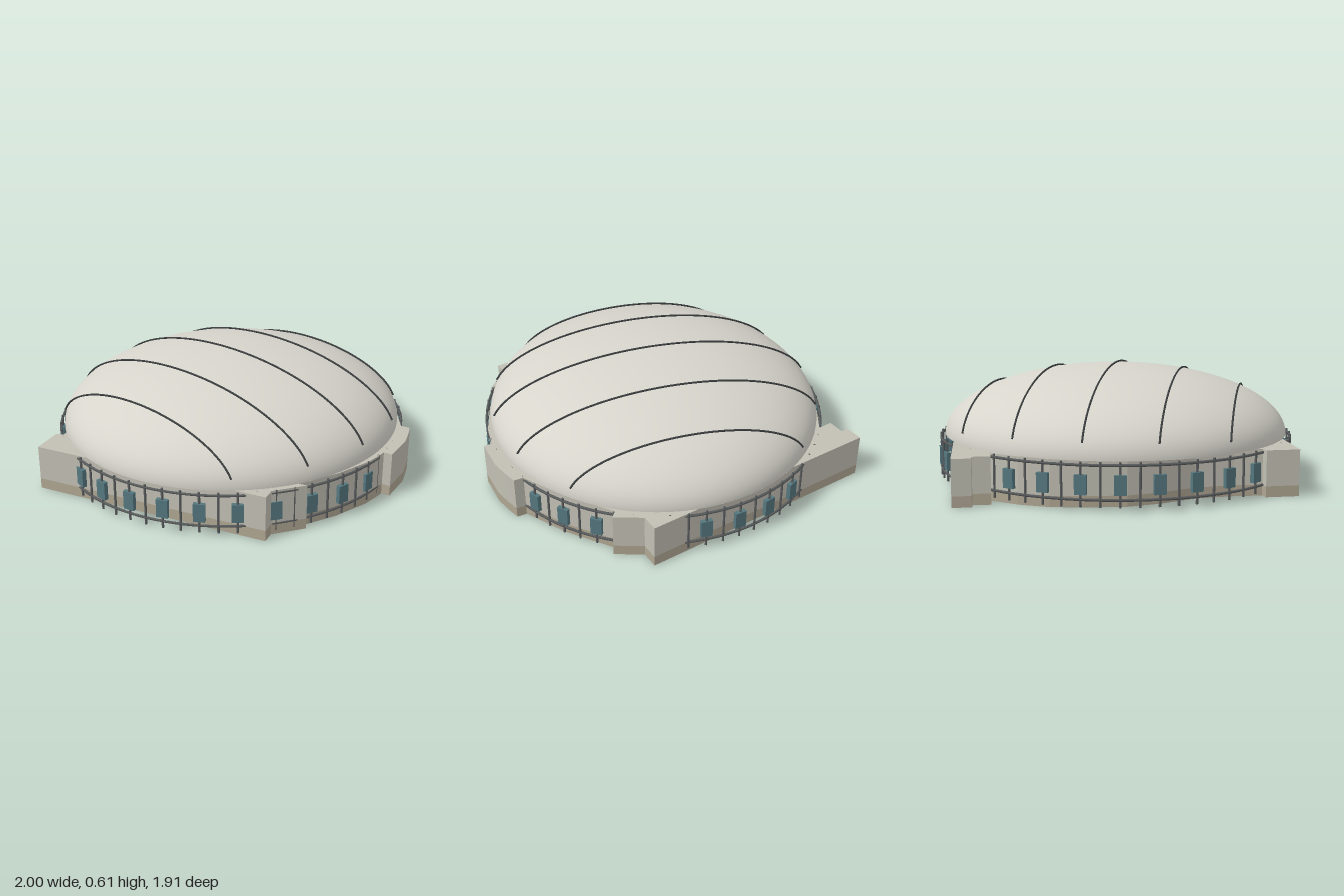
import * as THREE from 'three';

const WALL_TOP = 0.235, PLINTH_TOP = 0.055;
const DOME = { x: 0.925, y: 0.36, z: 0.89 };   // dome half sizes
const RING = { x: 0.948, z: 0.912 };           // railing ellipse

const mat = (color, side = THREE.FrontSide) => new THREE.MeshStandardMaterial({ color, side });
const wallMat = mat(0xc2c0b4);
const plinthMat = mat(0xb0a793);
const domeMat = mat(0xd6d4cb, THREE.DoubleSide);
const metalMat = mat(0x5a5d5e);
const ribMat = mat(0x3c3f40);
const glassMat = mat(0x55777f);

// Footprint as [x, z]: a tilted plan with corner blocks and a curved bay
const FOOTPRINT = [
  [0.61, -0.96], [1.0, 0.275], [0.915, 0.30], [0.87, 0.445], [0.83, 0.425],   // right side
  [0.65, 0.635], [0.46, 0.80], [0.47, 0.85], [0.40, 0.885], [0.32, 0.92],     // entrance bay
  [0.145, 0.955], [0.135, 0.912], [0.0, 0.914], [-0.2, 0.875], [-0.41, 0.80], // front
  [-0.395, 0.84], [-0.55, 0.75], [-0.615, 0.77], [-1.0, -0.43],               // left side
  [-0.84, -0.485], [-0.82, -0.45], [-0.68, -0.49], [-0.50, -0.57],            // back, stepped
  [-0.35, -0.70], [-0.2, -0.79], [0.0, -0.84], [0.16, -0.86], [0.32, -0.84],
  [0.47, -0.79], [0.445, -0.865], [0.53, -0.89], [0.52, -0.93],
];

function add(group, name, geometry, material) {
  const mesh = new THREE.Mesh(geometry, material);
  mesh.name = name;
  group.add(mesh);
  return mesh;
}

// Footprint raised from one height to another
function storey(y0, y1) {
  const shape = new THREE.Shape(FOOTPRINT.map(([x, z]) => new THREE.Vector2(x, -z)));
  return new THREE.ExtrudeGeometry(shape, { depth: y1 - y0, bevelEnabled: false })
    .rotateX(-Math.PI / 2)
    .translate(0, y0, 0);
}

function ringPoint(angle, y) {
  return new THREE.Vector3(RING.x * Math.cos(angle), y, RING.z * Math.sin(angle));
}

function ringRail(y) {
  const points = Array.from({ length: 64 }, (_, i) => ringPoint((i / 64) * Math.PI * 2, y));
  return new THREE.TubeGeometry(new THREE.CatmullRomCurve3(points, true), 128, 0.007, 6, true);
}

// Arched rib lying on the dome at a given x
function domeRib(x) {
  const k = Math.sqrt(1 - (x / DOME.x) ** 2), start = 0.22, lift = 0.006;
  const points = Array.from({ length: 25 }, (_, i) => {
    const a = start + (i / 24) * (Math.PI - 2 * start);
    return new THREE.Vector3(
      x * 1.003,
      WALL_TOP + (DOME.y * k + lift) * Math.sin(a),
      (DOME.z * k + lift) * Math.cos(a));
  });
  return new THREE.TubeGeometry(new THREE.CatmullRomCurve3(points), 64, 0.005, 6);
}

export function createModel() {
  const model = new THREE.Group();
  model.name = 'domedHall';

  // Walls
  add(model, 'plinth', storey(0, PLINTH_TOP), plinthMat);
  add(model, 'wall', storey(PLINTH_TOP, WALL_TOP), wallMat);

  // Dome and the soffit under its overhang
  const shell = new THREE.SphereGeometry(1, 96, 32, 0, Math.PI * 2, 0, Math.PI / 2);
  shell.scale(DOME.x, DOME.y, DOME.z).translate(0, WALL_TOP, 0);
  add(model, 'dome', shell, domeMat);
  const soffit = new THREE.CircleGeometry(1, 96).rotateX(Math.PI / 2);
  soffit.scale(DOME.x, 1, DOME.z).translate(0, WALL_TOP + 0.001, 0);
  add(model, 'soffit', soffit, domeMat);

  // Dome ribs
  const ribs = new THREE.Group();
  ribs.name = 'domeRibs';
  for (const x of [-0.67, -0.353, 0, 0.353, 0.67]) add(ribs, 'domeRib', domeRib(x), ribMat);
  model.add(ribs);

  // Railing around the hall
  const railing = new THREE.Group();
  railing.name = 'railing';
  add(railing, 'lowerRail', ringRail(0.056), metalMat);
  add(railing, 'upperRail', ringRail(0.22), metalMat);
  const post = new THREE.CylinderGeometry(0.006, 0.006, 0.215, 8);
  for (let i = 0; i < 64; i++) {
    add(railing, 'post', post, metalMat).position.copy(ringPoint((i / 64) * Math.PI * 2, 0.1275));
  }
  model.add(railing);

  // Window panels on every second post
  const windows = new THREE.Group();
  windows.name = 'windows';
  const pane = new THREE.BoxGeometry(0.058, 0.095, 0.022);
  for (let i = 0; i < 32; i++) {
    const a = (i / 32) * Math.PI * 2;
    const panel = add(windows, 'window', pane, glassMat);
    panel.position.copy(ringPoint(a, 0.127));
    panel.rotation.y = Math.PI / 2 - a;
  }
  model.add(windows);

  return model;
}
